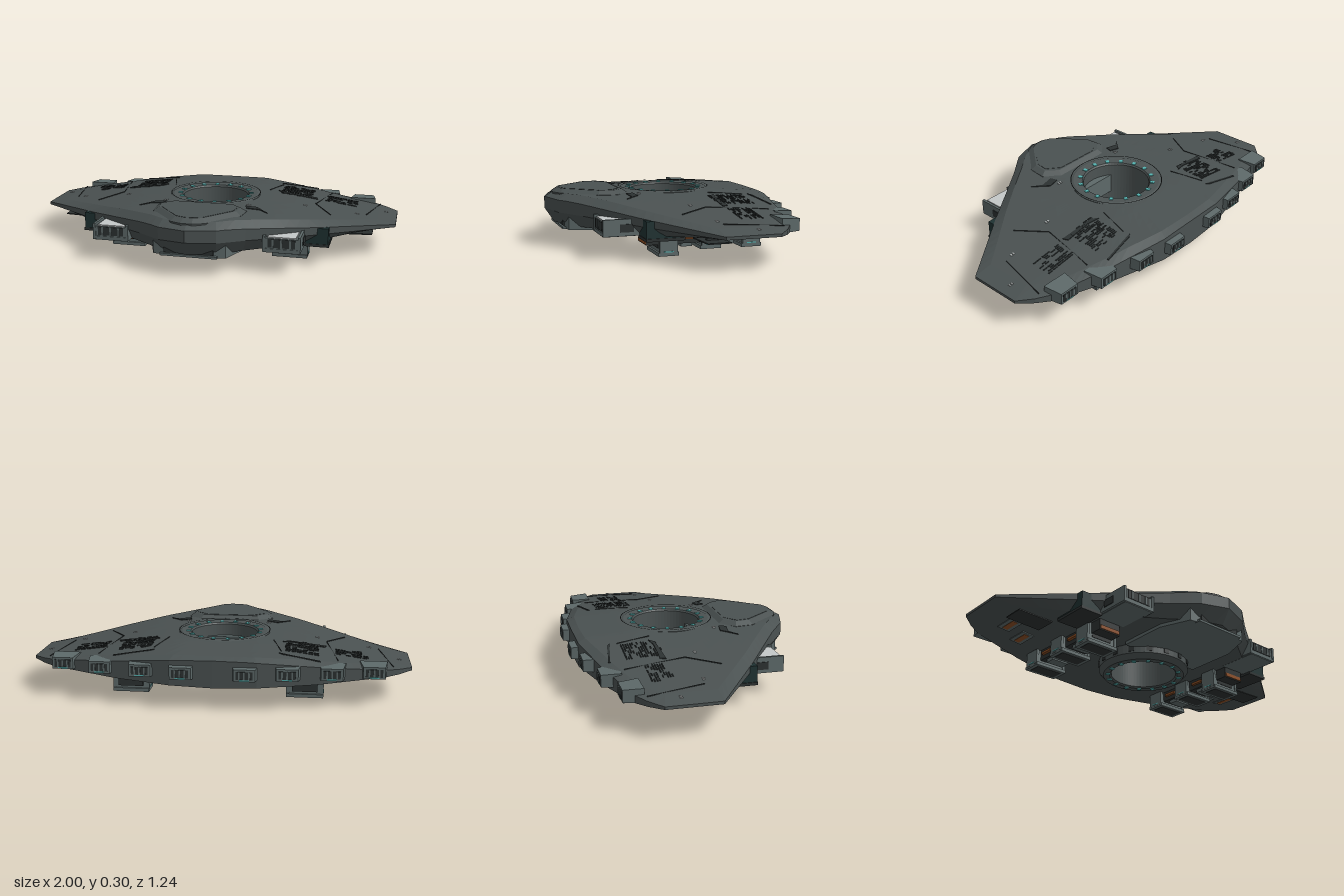
import * as THREE from 'three';

const mat = (name, color, side = THREE.FrontSide) =>
  Object.assign(new THREE.MeshStandardMaterial({ color, flatShading: true, side }), { name });

export function createModel() {
  const M = {
    hull: mat('hull grey', 0x4a5151),
    panel: mat('panel grey', 0x5d6969),
    ring: mat('ring grey', 0x4c5353, THREE.DoubleSide),
    dark: mat('dark grey', 0x2c3131),
    shade: mat('deep teal', 0x1f3232),
    teal: mat('teal light', 0x55b3b1),
    pale: mat('pale plate', 0xc4c8c8),
    rust: mat('rust', 0x8a4d24),
  };
  const root = new THREE.Group();
  root.name = 'ship';
  const CZ = -0.06; // centre of the round opening

  const add = (name, geo, m, x = 0, y = 0, z = 0, parent = root) => {
    const mesh = new THREE.Mesh(geo, m);
    mesh.name = name;
    mesh.position.set(x, y, z);
    parent.add(mesh);
    return mesh;
  };
  const box = (name, m, w, h, d, x, y, z, parent) =>
    add(name, new THREE.BoxGeometry(w, h, d), m, x, y, z, parent);
  // Box whose bottom (axis y) or back (axis z) end is scaled
  const taper = (w, h, d, axis, s1, s2) => {
    const g = new THREE.BoxGeometry(w, h, d), p = g.attributes.position;
    for (let i = 0; i < p.count; i++) {
      if (axis === 'y' && p.getY(i) < 0) { p.setX(i, p.getX(i) * s1); p.setZ(i, p.getZ(i) * s2); }
      if (axis === 'z' && p.getZ(i) < 0) { p.setX(i, p.getX(i) * s1); p.setY(i, p.getY(i) * s2); }
    }
    g.computeVertexNormals();
    return g;
  };
  const pieces = (table, v) => {
    for (let i = 1; i < table.length; i++) {
      const [a, ya] = table[i - 1], [b, yb] = table[i];
      if (v <= b) return ya + (yb - ya) * (v - a) / (b - a);
    }
    return table[table.length - 1][1];
  };
  // Height rules of the hull
  const topY = (x, z) => pieces([[0, .28], [.2, .28], [.4, .261], [.6, .234], [1, .178]], Math.abs(x))
    - Math.max(0, -z - .3) * .06;
  const rimTop = x => pieces([[0, .252], [.2, .248], [.55, .213], [1, .172]], Math.abs(x));
  const rimLow = (x, z) => z > -.2
    ? pieces([[0, .19], [.45, .172], [1, .157]], Math.abs(x))
    : pieces([[0, .11], [.5, .125], [.86, .147], [1, .157]], Math.abs(x));
  const lowY = x => pieces([[0, .112], [.55, .114], [1, .157]], Math.abs(x));

  // Hull lofted from the round opening to the outline and back underneath
  const half = [[0, .612], [.15, .565], [.28, .465], [.46, .345], [.62, .24], [1, -.03], [1, -.31],
    [.93, -.375], [.86, -.42], [.55, -.51], [.22, -.583], [0, -.587]];
  const corners = [...half, ...half.slice(1, -1).reverse().map(([x, z]) => [-x, z])];
  const outline = [];
  corners.forEach(([x, z], i) => {
    const [x2, z2] = corners[(i + 1) % corners.length];
    const n = Math.max(1, Math.round(Math.hypot(x2 - x, z2 - z) / .055));
    for (let k = 0; k < n; k++) outline.push([x + (x2 - x) * k / n, z + (z2 - z) * k / n]);
  });
  const rows = [0, .12, .28, .45, .62, .76, .87].map(t => [t, topY]);
  rows.push([1, rimTop], [1, rimLow], [.88, lowY], [.45, lowY], [0, lowY]);
  const pos = [], idx = [], N = outline.length;
  for (const [t, fy] of rows) for (const [ox, oz] of outline) {
    const r = Math.hypot(ox, oz - CZ), k = (.235 + (r - .235) * t) / r;
    const x = ox * k, z = CZ + (oz - CZ) * k;
    pos.push(x, fy(x, z), z);
  }
  for (let i = 0; i < rows.length - 1; i++) for (let j = 0; j < N; j++) {
    const a = i * N + j, b = i * N + (j + 1) % N, c = a + N, d = b + N;
    idx.push(a, c, b, b, c, d);
  }
  const hullGeo = new THREE.BufferGeometry();
  hullGeo.setAttribute('position', new THREE.Float32BufferAttribute(pos, 3));
  hullGeo.setIndex(idx);
  hullGeo.computeVertexNormals();
  add('hull', hullGeo, M.hull);

  // Extruded plan shape; points are x, z
  const slab = (pts, depth, bevel = 0) => {
    const s = new THREE.Shape(pts.map(([x, z]) => new THREE.Vector2(x, -z)));
    return new THREE.ExtrudeGeometry(s, {
      depth, bevelEnabled: bevel > 0, bevelSize: bevel, bevelThickness: .02, bevelSegments: 1, bevelOffset: -bevel,
    }).rotateX(-Math.PI / 2);
  };
  // Thin plate that follows the top of the hull
  const decal = (name, m, pts) => {
    const g = slab(pts, .004), p = g.attributes.position;
    for (let i = 0; i < p.count; i++) p.setY(i, p.getY(i) + topY(p.getX(i), p.getZ(i)));
    g.computeVertexNormals();
    return add(name, g, m);
  };
  const rect = (x, z, w, d) => [[x - w / 2, z - d / 2], [x + w / 2, z - d / 2], [x + w / 2, z + d / 2], [x - w / 2, z + d / 2]];
  const strip = (name, m, x1, z1, x2, z2, w) => {
    const l = Math.hypot(x2 - x1, z2 - z1), nx = -(z2 - z1) / l * w / 2, nz = (x2 - x1) / l * w / 2;
    decal(name, m, [[x1 + nx, z1 + nz], [x2 + nx, z2 + nz], [x2 - nx, z2 - nz], [x1 - nx, z1 - nz]]);
  };

  // Raised prow deck and the block below the nose
  const mirror = pts => [...pts, ...pts.slice().reverse().map(([x, z]) => [-x, z])];
  add('prowDeck', slab(mirror([[.17, .195], [.245, .27], [.235, .37], [.09, .545], [.03, .57]]), .02, .03), M.hull, 0, .258);
  add('prowPanel', slab(mirror([[.13, .235], [.2, .29], [.19, .36], [.07, .51], [.02, .53]]), .003), M.panel, 0, .2965).material = M.hull;
  add('noseBlock', slab(mirror([[.25, .08], [.25, .36], [.19, .52], [.1, .535]]), .11), M.panel, 0, .095);
  box('noseRecess', M.dark, .26, .05, .008, 0, .135, .535);
  box('noseSill', M.panel, .3, .012, .03, 0, .1, .53);

  // Central ring
  const ring = new THREE.LatheGeometry([[.18, .04], [.18, .27], [.187, .279], [.235, .284], [.25, .278], [.25, .06],
    [.225, .032], [.19, .032], [.18, .04]].map(([r, y]) => new THREE.Vector2(r, y)), 64);
  add('ring', ring, M.ring, 0, 0, CZ);
  add('ringSeam', new THREE.RingGeometry(.247, .252, 64).rotateX(-Math.PI / 2), M.dark, 0, .287, CZ);
  for (let i = 0; i < 16; i++) {
    const a = (i + .5) * Math.PI / 8;
    for (const y of [.281, .0315]) {
      const l = box('ringLight', M.teal, .02, .007, .024, Math.sin(a) * .199, y, CZ + Math.cos(a) * .199);
      l.rotation.y = a;
    }
    const b = box('ringRib', M.dark, .03, .03, .006, Math.sin(a) * .25, .085, CZ + Math.cos(a) * .25);
    b.rotation.y = a;
  }

  let seed = 7;
  const rnd = () => (seed = (seed * 16807) % 2147483647) / 2147483647;

  for (const s of [1, -1]) {
    // Thruster housings along the rear rim
    for (const [x, z, y, turn] of [[.16, -.62, .19, .06], [.37, -.59, .19, .2], [.59, -.538, .185, .27], [.8, -.475, .182, .3]]) {
      const g = new THREE.Group();
      g.name = 'thruster';
      g.position.set(s * x, y, z);
      root.add(g);
      add('housing', taper(.14, .072, .1, 'z', .78, .85), M.panel, 0, 0, .05, g);
      box('nozzle', M.dark, .085, .04, .006, 0, 0, -.001, g);
      for (const k of [-1, 0, 1]) box('nozzleBar', M.panel, .008, .04, .008, k * .025, 0, -.002, g);
      box('rearLight', M.teal, .05, .005, .006, 0, -.024, -.001, g);
    }

    // Vent fields of short random slats
    for (const [cx, cz, w, d] of [[.435, -.29, .17, .2], [.69, -.26, .17, .12]]) {
      const nz = Math.round(d / .012);
      for (let j = 0; j < nz; j++) for (let i = 0; i < 6; i++) {
        if (rnd() < .4) continue;
        decal('ventSlat', M.dark, rect(s * (cx - w / 2 + (i + .5) * w / 6 + (rnd() - .5) * .012),
          cz - d / 2 + (j + .5) * d / nz, w / 6 * .85, .006));
      }
    }

    // Dark notches, seams and small markers on the deck
    decal('notch', M.dark, [[s * .33, -.235], [s * .36, -.205], [s * .56, -.195], [s * .55, -.225], [s * .4, -.22]]);
    decal('notch', M.dark, [[s * .32, -.435], [s * .34, -.45], [s * .53, -.48], [s * .53, -.47]]);
    decal('notch', M.dark, [[s * .22, .18], [s * .28, .17], [s * .35, .25], [s * .3, .21], [s * .23, .22]]);
    for (const q of [[.62, -.42, .56, -.1], [.56, -.1, .66, .06], [.9, -.37, .84, -.08], [.33, -.4, .28, -.22]])
      strip('seam', M.dark, s * q[0], q[1], s * q[2], q[3], .004);
    for (const [x, z] of [[.94, -.22], [.79, -.07], [.51, -.035], [.23, .15]])
      for (const k of [-.007, .007]) decal('marker', M.pale, rect(s * x + k, z, .007, .014));

    // Front dock with its pale landing plate
    const X = s * .455;
    box('dock', M.panel, .17, .075, .22, X, .15, .315);
    box('dockPlate', M.pale, .145, .006, .14, X, .191, .35);
    box('dockLip', M.panel, .19, .018, .018, X, .125, .42);
    for (const k of [-1, 1]) box('dockRail', M.panel, .014, .085, .19, X + k * .09, .158, .335);
    box('dockMouth', M.dark, .14, .045, .006, X, .162, .425);
    for (const k of [-1, 0, 1]) box('dockBar', M.panel, .01, .045, .008, X + k * .045, .162, .427);
    box('dockSide', M.dark, .006, .04, .07, X + s * .098, .155, .31);
    box('sideBay', M.shade, .12, .095, .2, s * .61, .155, .145);
    box('sideBaySill', M.dark, .13, .015, .2, s * .61, .11, .148);

    // Underside rack carrying three landing pods
    box('rack', M.dark, .13, .06, .62, X, .085, -.11);
    for (const [z, y0] of [[.09, 0], [-.135, .025], [-.36, .022]]) {
      const g = new THREE.Group();
      g.name = 'pod';
      g.position.set(X, y0, z);
      root.add(g);
      const h = .105 - y0;
      add('podBody', taper(.16, h, .08, 'y', 1.06, 1.1), M.panel, 0, .01 + h / 2, 0, g);
      box('podFoot', M.panel, .19, .018, .11, 0, .009, 0, g);
      box('podHatch', M.dark, .15, .005, .075, 0, .0005, 0, g);
      box('podLight', M.teal, .1, .004, .01, 0, -.0005, .03, g).position.y = .0005;
      for (const k of [-1, 1]) {
        box('podPost', M.panel, .016, h, .095, k * .088, .01 + h / 2, 0, g);
        box('podWindow', M.dark, .12, .03, .006, 0, .05, k * .043, g);
        box('podSideLight', M.teal, .006, .005, .05, k * .095, .022, 0, g);
      }
    }
    for (const z of [-.02, -.25]) {
      box('rackHousing', M.panel, .1, .05, .06, X, .06, z);
      box('rackPipe', M.rust, .16, .014, .08, X, .085, z);
    }
    box('rackPipe', M.rust, .12, .02, .03, X, .07, .19);

    // Underside hatches and outrigger plates
    for (const [x, z] of [[.68, -.27], [.8, -.2]]) {
      const y = lowY(x) - .002;
      const hatch = box('bellyHatch', M.panel, .07, .006, .13, s * x, y, z);
      const core = box('bellyHatchCore', M.rust, .03, .008, .1, s * x, y - .001, z);
      hatch.rotation.z = core.rotation.z = s * .095;
    }
    const wing = box('outrigger', M.dark, .2, .006, .12, s * .78, .115, -.05);
    wing.rotation.z = s * .03;
    box('outriggerStrut', M.dark, .02, .03, .06, s * .78, .128, -.05);
  }
  return root;
}
